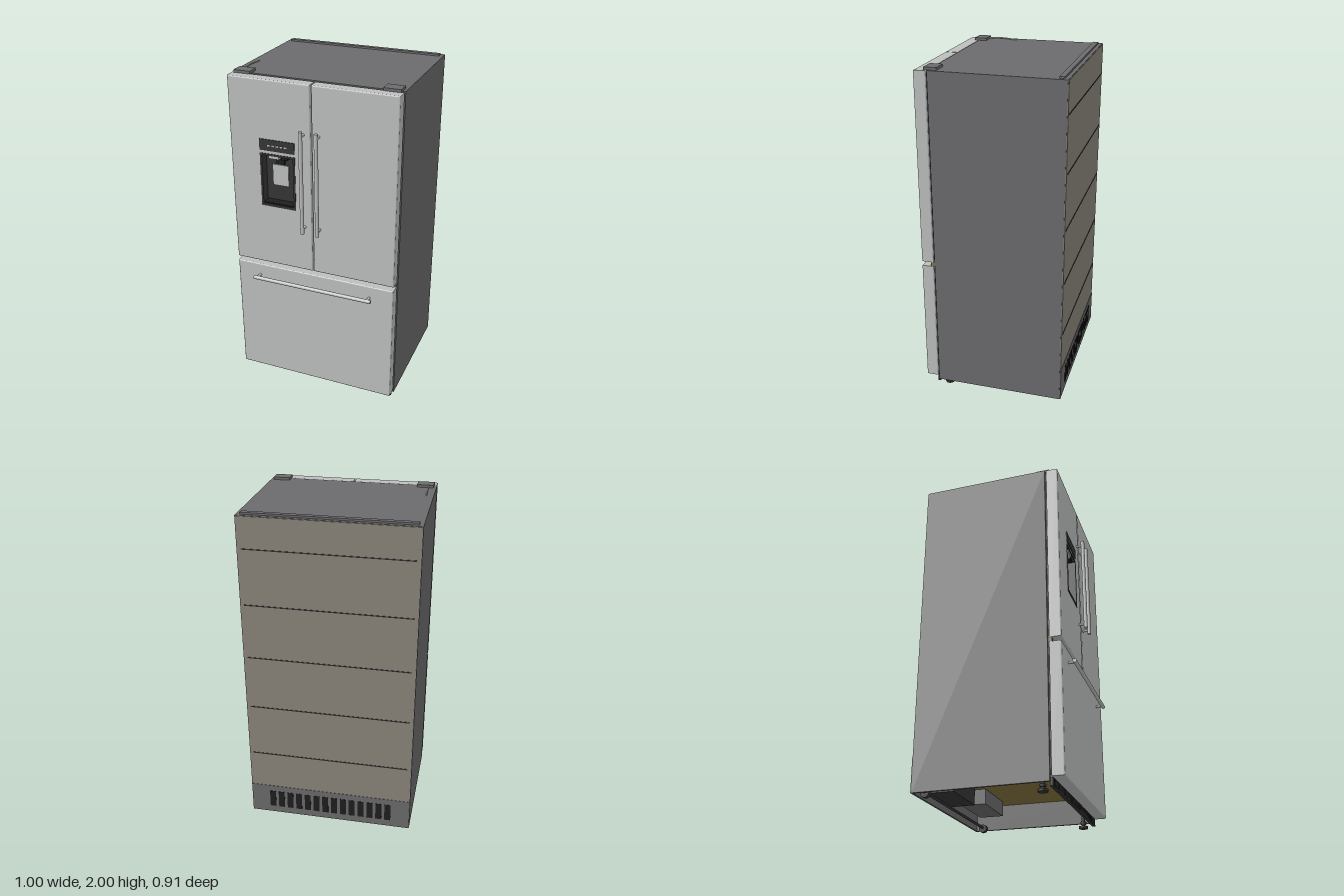
import * as THREE from 'three';

const mat = (name, color, side = THREE.FrontSide) => {
  const m = new THREE.MeshStandardMaterial({ color, side });
  m.name = name;
  return m;
};

export function createModel() {
  const root = new THREE.Group();
  root.name = 'refrigerator';
  const steel = mat('steel', 0xbdbfbe);
  const grey = mat('cabinetGrey', 0x6b6b6d);
  const dark = mat('darkPlastic', 0x353536);
  const black = mat('black', 0x1e1e1f);
  const backing = mat('backPanelTaupe', 0x8a857a);
  const brass = mat('undersideBrown', 0x857440);

  const add = (name, geo, m, x = 0, y = 0, z = 0) => {
    const mesh = new THREE.Mesh(geo, m);
    mesh.name = name;
    mesh.position.set(x, y, z);
    root.add(mesh);
    return mesh;
  };
  // Box given by its minimum and maximum corners
  const box = (name, m, x0, x1, y0, y1, z0, z1) =>
    add(name, new THREE.BoxGeometry(x1 - x0, y1 - y0, z1 - z0), m, (x0 + x1) / 2, (y0 + y1) / 2, (z0 + z1) / 2);
  // Cylinder running along one axis
  const rod = (name, m, axis, r, len, x, y, z) => {
    const g = new THREE.CylinderGeometry(r, r, len, 20);
    if (axis === 'x') g.rotateZ(Math.PI / 2);
    if (axis === 'z') g.rotateX(Math.PI / 2);
    return add(name, g, m, x, y, z);
  };
  const rect = (P, x0, x1, y0, y1) => {
    const p = new P();
    p.moveTo(x0, y0);
    p.lineTo(x1, y0);
    p.lineTo(x1, y1);
    p.lineTo(x0, y1);
    p.closePath();
    return p;
  };
  // Door slab with softened edges and an optional opening
  const door = (name, x0, x1, y0, y1, hole) => {
    const b = 0.007;
    const s = rect(THREE.Shape, x0, x1, y0, y1);
    if (hole) s.holes.push(rect(THREE.Path, ...hole));
    const g = new THREE.ExtrudeGeometry(s, {
      depth: 0.072 - 2 * b, bevelThickness: b, bevelSize: b, bevelOffset: -b, bevelSegments: 3,
    });
    return add(name, g, steel, 0, 0, 0.328 + b);
  };

  // Cabinet: solid body with a hollow machine bay underneath
  const u = new THREE.Shape();
  [[-0.5, 0.04], [-0.485, 0.04], [-0.485, 0.2], [0.485, 0.2], [0.485, 0.04], [0.5, 0.04], [0.5, 1.985], [-0.5, 1.985]]
    .forEach(([x, y], i) => (i ? u.lineTo(x, y) : u.moveTo(x, y)));
  add('cabinet', new THREE.ExtrudeGeometry(u, { depth: 0.765, bevelEnabled: false }), grey, 0, 0, -0.445);
  box('gasket', dark, -0.485, 0.485, 0.08, 1.97, 0.319, 0.33);
  box('mullion', steel, -0.49, 0.49, 0.815, 0.86, 0.322, 0.335);

  // Back: taupe panel with pressed grooves, slotted cover below
  box('backPanel', backing, -0.498, 0.498, 0.24, 1.983, -0.45, -0.444);
  for (let i = 0; i < 5; i++) {
    const y = 0.48 + i * 0.33;
    box('backGroove', dark, -0.475, 0.475, y - 0.003, y + 0.003, -0.4525, -0.449);
  }
  box('backVentCover', grey, -0.498, 0.498, 0.04, 0.24, -0.452, -0.44);
  for (let i = 0; i < 14; i++) {
    const x = -0.364 + i * 0.056;
    box('backVentSlot', black, x - 0.019, x + 0.019, 0.085, 0.2, -0.454, -0.451);
  }

  // Machine bay seen from underneath
  box('undersidePlate', brass, -0.484, 0.484, 0.193, 0.201, -0.43, 0.3);
  box('bayFrontWall', steel, -0.484, 0.484, 0.06, 0.2, 0.295, 0.317);
  box('compressorTray', grey, 0.06, 0.38, 0.1, 0.19, -0.38, -0.23);
  box('condenser', dark, -0.36, -0.04, 0.07, 0.19, -0.42, -0.26);
  rod('rearAxle', dark, 'x', 0.008, 0.95, 0, 0.05, -0.385);

  // Top: rear rail, hinge covers and water line
  box('topRail', grey, -0.477, 0.477, 1.985, 1.996, -0.424, -0.394);
  const line = new THREE.CatmullRomCurve3([[0.27, 1.99], [0.2, 1.994], [0.14, 1.991], [0.09, 1.986]]
    .map(([z, y]) => new THREE.Vector3(-0.457, y, z)));
  add('waterLine', new THREE.TubeGeometry(line, 16, 0.004, 8), steel);

  // French doors and freezer drawer
  door('rightDoor', -0.498, -0.004, 0.85, 1.983, [-0.305, -0.11, 1.24, 1.545]);
  door('leftDoor', 0.004, 0.498, 0.85, 1.983);
  door('freezerDrawer', -0.498, 0.498, 0.065, 0.823);
  box('centreSeal', grey, -0.012, 0.012, 0.86, 1.975, 0.328, 0.345);

  // Door handles, hinges, feet and rollers on both sides
  for (const s of [-1, 1]) {
    rod('doorHandle', steel, 'y', 0.0115, 0.62, s * 0.046, 1.42, 0.44);
    for (const y of [1.137, 1.7]) rod('doorHandlePost', steel, 'z', 0.008, 0.045, s * 0.046, y, 0.418);
    rod('drawerHandlePost', steel, 'z', 0.008, 0.045, s * 0.352, 0.748, 0.418);
    box('hingeCover', grey, s * 0.435 - 0.049, s * 0.435 + 0.049, 1.984, 2, 0.27, 0.344);
    box('middleHinge', brass, s * 0.483 - 0.013, s * 0.483 + 0.013, 0.822, 0.851, 0.322, 0.345);
    rod('footStem', dark, 'y', 0.01, 0.18, s * 0.445, 0.105, 0.268);
    rod('footPad', dark, 'y', 0.028, 0.014, s * 0.445, 0.007, 0.268);
    rod('footNut', dark, 'y', 0.018, 0.014, s * 0.445, 0.034, 0.268);
    rod('rearRoller', dark, 'x', 0.025, 0.03, s * 0.45, 0.045, -0.385);
  }
  rod('drawerHandle', steel, 'x', 0.0115, 0.75, 0, 0.748, 0.44);

  // Kick plate with upright slots
  box('kickPlate', dark, -0.485, 0.485, 0.018, 0.064, 0.317, 0.333);
  for (let i = 0; i < 38; i++) {
    const x = -0.4625 + i * 0.025;
    box('kickPlateSlot', black, x - 0.007, x + 0.007, 0.028, 0.06, 0.332, 0.335);
  }

  // Dispenser: control strip, framed recess, nozzle, paddle and drip tray
  box('controlPanel', dark, -0.316, -0.1, 1.575, 1.642, 0.395, 0.404);
  for (let i = 0; i < 5; i++) {
    const x = -0.257 + i * 0.0255;
    box('controlButton', steel, x - 0.008, x + 0.008, 1.603, 1.611, 0.403, 0.4055);
  }
  const frame = rect(THREE.Shape, -0.316, -0.1, 1.23, 1.557);
  frame.holes.push(rect(THREE.Path, -0.304, -0.112, 1.245, 1.545));
  add('dispenserFrame', new THREE.ExtrudeGeometry(frame, { depth: 0.062, bevelEnabled: false }), dark, 0, 0, 0.341);
  box('dispenserBack', dark, -0.312, -0.104, 1.235, 1.55, 0.336, 0.346);
  box('nozzle', steel, -0.265, -0.2, 1.527, 1.546, 0.35, 0.398);
  box('nozzleTip', black, -0.19, -0.15, 1.525, 1.546, 0.35, 0.39);
  box('paddle', steel, -0.259, -0.16, 1.352, 1.48, 0.355, 0.362);
  box('paddleMount', black, -0.235, -0.185, 1.39, 1.52, 0.345, 0.356);
  box('dripTray', black, -0.3, -0.116, 1.244, 1.252, 0.346, 0.398);

  return root;
}
